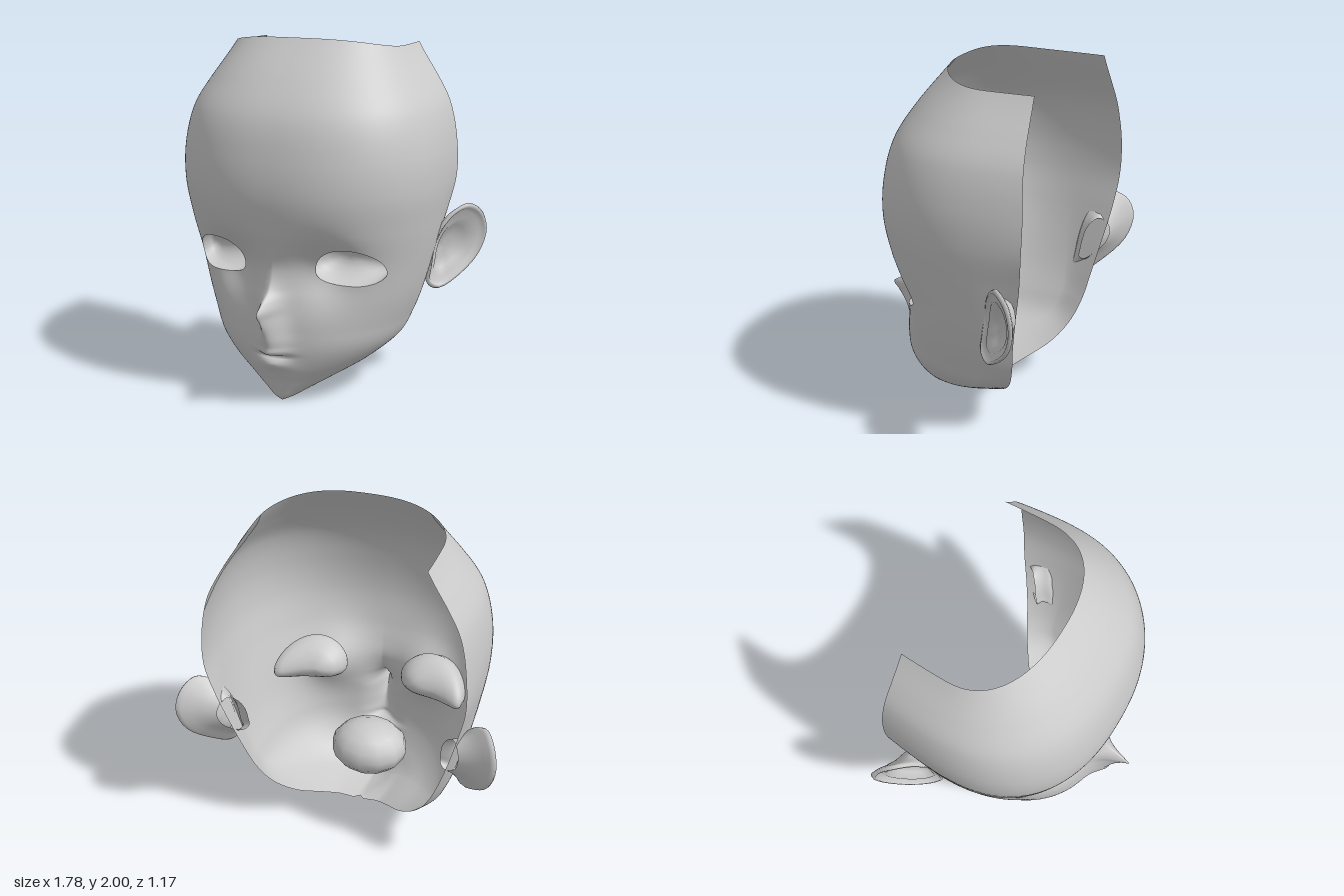
import * as THREE from 'three';
import { mergeVertices } from 'three/addons/utils/BufferGeometryUtils.js';

const skin = new THREE.MeshStandardMaterial({ color: 0xcccccc, side: THREE.DoubleSide });

// Head sections: y, half width, front z, z of the widest point, back edge x, back edge z
const SECTIONS = [
  [0.005, 0.012, 0.285, 0.265, 0, 0.25], [0.03, 0.065, 0.31, 0.24, 0, 0.13],
  [0.07, 0.13, 0.325, 0.2, 0, -0.07], [0.085, 0.157, 0.33, 0.18, 0.1, -0.085],
  [0.13, 0.235, 0.345, 0.12, 0.185, -0.15], [0.22, 0.39, 0.375, -0.05, 0.31, -0.28],
  [0.32, 0.505, 0.39, -0.2, 0.42, -0.36], [0.45, 0.567, 0.39, -0.25, 0.5, -0.41],
  [0.6, 0.62, 0.39, -0.25, 0.56, -0.44], [0.8, 0.67, 0.4, -0.24, 0.62, -0.48],
  [1, 0.71, 0.45, -0.22, 0.67, -0.52], [1.2, 0.74, 0.48, -0.2, 0.71, -0.545],
  [1.4, 0.74, 0.465, -0.2, 0.705, -0.55], [1.6, 0.7, 0.41, -0.22, 0.67, -0.535],
  [1.78, 0.615, 0.295, -0.25, 0.595, -0.52], [2, 0.49, 0.11, -0.25, 0.48, -0.505],
];
// Nose, lips and chin along the centre line: y, push forward, half width
const PROFILE = [
  [0.1, 0, 0.12], [0.14, 0, 0.12], [0.2, 0.01, 0.1], [0.255, 0.035, 0.085], [0.285, 0.014, 0.08],
  [0.3, -0.012, 0.08], [0.315, 0.045, 0.08], [0.335, 0.078, 0.08], [0.36, 0.077, 0.08],
  [0.4, 0.09, 0.08], [0.46, 0.115, 0.068], [0.54, 0.168, 0.05], [0.585, 0.2, 0.047],
  [0.62, 0.15, 0.052], [0.68, 0.06, 0.065], [0.78, 0.01, 0.09], [0.9, 0, 0.1], [1, 0, 0.1],
];

// Smooth interpolation through the rows of a table
function sample(table, y) {
  const n = table.length - 1;
  y = THREE.MathUtils.clamp(y, table[0][0], table[n][0]);
  let i = 0;
  while (i < n - 1 && y > table[i + 1][0]) i++;
  const h = table[i + 1][0] - table[i][0], t = (y - table[i][0]) / h;
  const slope = (k, c) => {
    const a = table[Math.max(k - 1, 0)], b = table[Math.min(k + 1, n)];
    return (b[c] - a[c]) / (b[0] - a[0]);
  };
  return table[i].map((v, c) => v * (1 + 2 * t) * (1 - t) ** 2 + table[i + 1][c] * t * t * (3 - 2 * t)
    + h * (slope(i, c) * t * (1 - t) ** 2 + slope(i + 1, c) * t * t * (t - 1)));
}

const EYE = { x: 0.388, y: 0.782, w: 0.175, up: 0.135, down: 0.078 };

// Surface of the face at a given x and height
function faceZ(x, y) {
  const [, w, front, mid] = sample(SECTIONS, y);
  const s = Math.min(1, Math.abs(x) / w);
  const p = 1.8 + 0.55 * THREE.MathUtils.smoothstep(y, 0.08, 0.42);
  const [, push, width] = sample(PROFILE, y);
  const sharp = 2 - 0.75 * THREE.MathUtils.smoothstep(y, 0.36, 0.56);
  const nose = push * Math.exp(-((Math.abs(x) / width) ** sharp));
  const socket = 0.095 * Math.exp(-(((Math.abs(x) - 0.28) / 0.16) ** 2) - ((y - 0.77) / 0.17) ** 2);
  return mid + (front - mid) * Math.max(0, 1 - s ** p) ** (1 / p) + nose - socket;
}

// Point on the shell: q = 0 front centre, 1 widest point, 2 back edge
function shellPoint(y, q, side) {
  const [, w, , mid, bx, bz] = sample(SECTIONS, y);
  const drop = 0.05 * THREE.MathUtils.smoothstep(y, 1.6, 2);
  if (q <= 1) {
    const s = Math.sin(Math.PI / 2 * q ** 1.25);
    return new THREE.Vector3(side * w * s, y - drop * s ** 3, faceZ(w * s, y));
  }
  const r = q - 1, zw = faceZ(w, y);
  return new THREE.Vector3(side * (w - (w - Math.max(0, bx)) * r ** 1.6), y - drop, zw + (bz - zw) * r);
}

// Negative inside the eye opening
function eyeField(v) {
  const dx = Math.abs(Math.abs(v.x) - EYE.x) / EYE.w, dy = v.y - EYE.y;
  if (v.z < 0) return 1;
  return dy > 0 ? dx ** 2 + (dy / EYE.up) ** 2 - 1 : dx ** 2.5 + (-dy / EYE.down) ** 2.5 - 1;
}

function finish(positions) {
  const g = new THREE.BufferGeometry();
  g.setAttribute('position', new THREE.Float32BufferAttribute(positions, 3));
  const merged = mergeVertices(g, 1e-5);
  merged.computeVertexNormals();
  return merged;
}

// Skin a stack of rows; keep(v) < 0 cuts a clean opening
function skinRows(rows, keep = () => 1) {
  const out = [];
  const addTriangle = (tri) => {
    const poly = [];
    tri.forEach((a, i) => {
      const b = tri[(i + 1) % 3], fa = keep(a), fb = keep(b);
      if (fa >= 0) poly.push(a);
      if (fa * fb < 0) poly.push(a.clone().lerp(b, fa / (fa - fb)));
    });
    for (let k = 1; k + 1 < poly.length; k++)
      for (const v of [poly[0], poly[k], poly[k + 1]]) out.push(v.x, v.y, v.z);
  };
  for (let i = 0; i + 1 < rows.length; i++)
    for (let j = 0; j + 1 < rows[i].length; j++) {
      const [a, b, c, d] = [rows[i][j], rows[i + 1][j], rows[i + 1][j + 1], rows[i][j + 1]];
      addTriangle([a, b, d]);
      addTriangle([b, c, d]);
    }
  return finish(out);
}

function headShell() {
  const rows = [], N = 54, back = 8, R = 170;
  const qs = [];
  for (let j = 0; j <= N; j++) qs.push(j / N);
  for (let j = 1; j <= back; j++) qs.push(1 + j / back);
  for (let i = 0; i <= R; i++) {
    const y = 2 + (0.005 - 2) * (i / R);
    rows.push([...qs.slice(1).reverse().map((q) => shellPoint(y, q, -1)), ...qs.map((q) => shellPoint(y, q, 1))]);
  }
  return skinRows(rows, eyeField);
}

// Lid rim flaring inward and up, closed by a hollow bowl: scale of the opening, depth
function eyeBowl() {
  const steps = [[1, 0], [1.06, 0.03], [1.12, 0.06], [1.1, 0.09], [0.95, 0.12], [0.72, 0.145], [0.4, 0.16], [0, 0.165]];
  return skinRows(steps.map(([k, depth]) => {
    const ring = [];
    for (let j = 0; j <= 48; j++) {
      const a = (j / 48) * Math.PI * 2, c = Math.cos(a), s = Math.sin(a), e = s < 0 ? 0.8 : 1;
      const x = EYE.x + k * EYE.w * Math.sign(c) * Math.abs(c) ** e;
      const y = EYE.y + k * (s < 0 ? EYE.down : EYE.up) * Math.sign(s) * Math.abs(s) ** e;
      ring.push(new THREE.Vector3(x - 0.35 * depth, y + 0.3 * depth, faceZ(x, y) - 0.94 * depth));
    }
    return ring;
  }));
}

function earGeometry() {
  const outline = new THREE.CatmullRomCurve3([
    [0.81, 1.055, -0.47], [0.865, 1, -0.55], [0.885, 0.89, -0.585], [0.85, 0.75, -0.55],
    [0.76, 0.625, -0.44], [0.675, 0.567, -0.35], [0.632, 0.605, -0.3], [0.635, 0.7, -0.31],
    [0.65, 0.84, -0.335], [0.695, 0.95, -0.365], [0.745, 1.02, -0.41],
  ].map((p) => new THREE.Vector3(...p)), true).getPoints(40);
  const normal = new THREE.Vector3(0.77, 0, 0.64), inward = new THREE.Vector3(1, 0, 0);
  const bowl = new THREE.Vector3(0.73, 0.79, -0.4), root = new THREE.Vector3(0.75, 0.81, -0.43);
  const ring = (centre, dir, [k, d]) =>
    outline.map((p) => centre.clone().lerp(p, k).addScaledVector(dir, d));
  // Back root, rim, fold and hollow, from behind to the front
  return skinRows([
    ...[[0.5, -0.14], [0.6, -0.085], [0.8, -0.04], [0.94, -0.018]].map((s) => ring(root, inward, s)),
    ...[[1, 0], [0.97, 0.014], [0.9, 0.014], [0.82, -0.012], [0.68, -0.004], [0.5, -0.04], [0.25, -0.055], [0, -0.055]]
      .map((s) => ring(bowl, normal, s)),
  ]);
}

export function createModel() {
  const model = new THREE.Group();
  model.name = 'head';
  const add = (name, geometry, mirror = false) => {
    const mesh = new THREE.Mesh(geometry, skin);
    mesh.name = name;
    if (mirror) mesh.scale.x = -1;
    model.add(mesh);
    return mesh;
  };
  add('faceShell', headShell());

  const eye = eyeBowl(), ear = earGeometry();
  for (const [side, mirror] of [['left', false], ['right', true]]) {
    add(side + 'Eye', eye, mirror);
    add(side + 'Ear', ear, mirror);
  }

  // Mouth cavity behind the lips
  const mouth = add('mouthCavity', new THREE.SphereGeometry(1, 12, 8));
  mouth.scale.set(0.23, 0.16, 0.2);
  mouth.position.set(0, 0.315, 0.14);
  return model;
}
